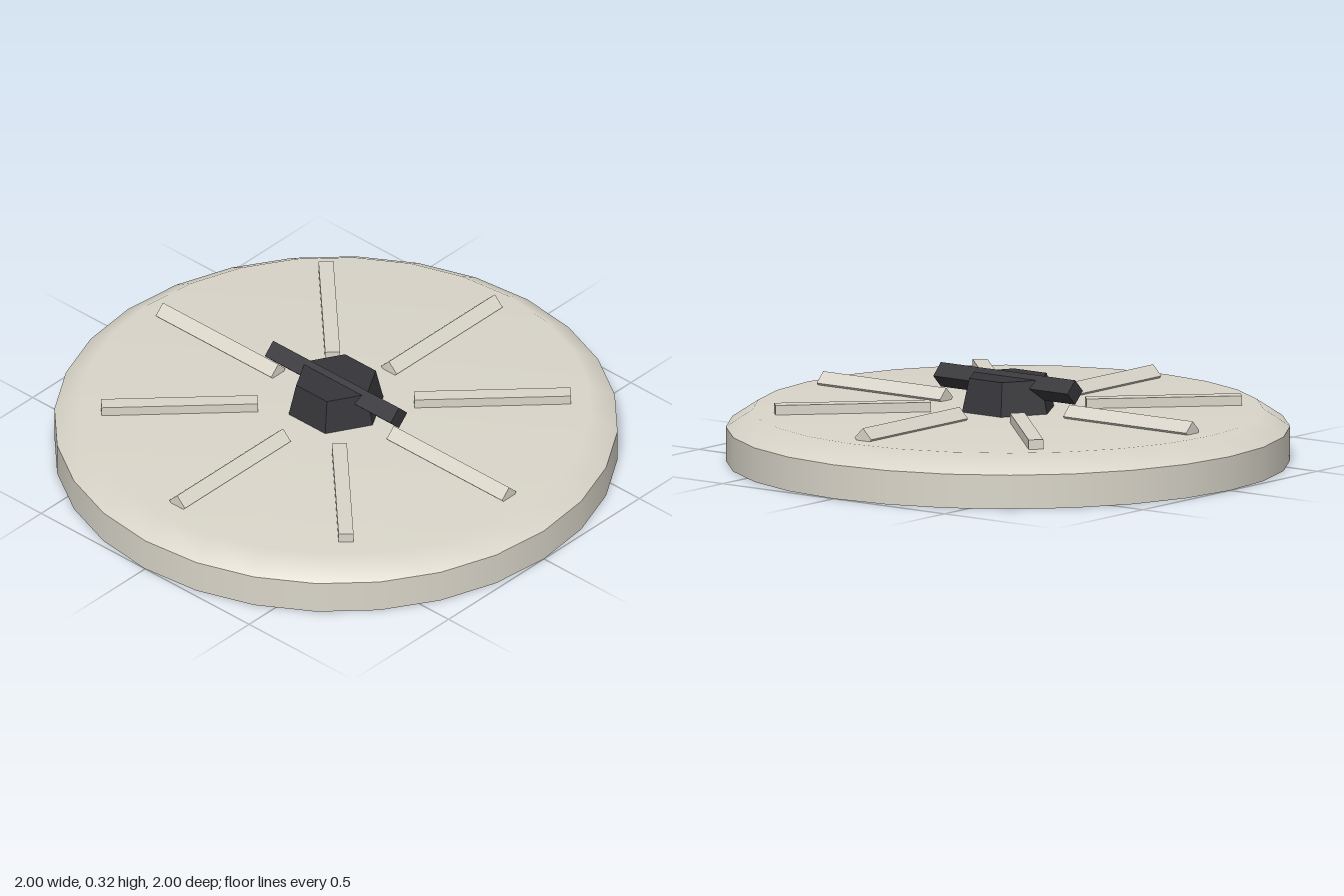
import * as THREE from 'three';

const cream = new THREE.MeshStandardMaterial({ color: 0xd9d5c9 });
const dark = new THREE.MeshStandardMaterial({ color: 0x36363a });

function add(parent, name, geometry, material) {
  const mesh = new THREE.Mesh(geometry, material);
  mesh.name = name;
  parent.add(mesh);
  return mesh;
}

// Surface of revolution with 28 sides; profile runs outward and upward
function ring(...profile) {
  return new THREE.LatheGeometry(profile.map(([r, y]) => new THREE.Vector2(r, y)), 28);
}

export function createModel() {
  const model = new THREE.Group();
  model.name = 'spokedDisc';

  // Disc: flat underside, upright rim, smoothly shaded bevelled top
  const disc = new THREE.Group();
  disc.name = 'disc';
  model.add(disc);
  add(disc, 'underside', ring([0, 0], [1, 0]), cream);
  add(disc, 'rim', ring([1, 0], [1, 0.122]), cream);
  add(disc, 'topPlate', ring([1, 0.122], [0.905, 0.185], [0, 0.185]), cream);

  // Eight radial ribs: the straight ones stand on edge, the diagonal ones lie flat
  for (let i = 0; i < 8; i++) {
    const geometry = new THREE.BoxGeometry(0.555, 0.053, 0.053);
    if (i % 2 === 0) geometry.rotateX(Math.PI / 4);
    geometry.translate(0.555, 0.193, 0);
    add(model, 'rib', geometry, cream).rotation.y = i * Math.PI / 4;
  }

  // Tapered hexagonal hub, with corners on the x axis
  const hub = new THREE.CylinderGeometry(0.148, 0.177, 0.125, 6).toNonIndexed();
  hub.computeVertexNormals();
  hub.rotateY(Math.PI / 2);
  hub.translate(0, 0.2425, 0);
  add(model, 'hub', hub, dark);

  // Square handle bar set on edge through the hub
  const bar = new THREE.BoxGeometry(0.605, 0.062, 0.062);
  bar.rotateX(Math.PI / 4);
  bar.translate(0, 0.277, 0);
  add(model, 'handleBar', bar, dark);

  return model;
}
